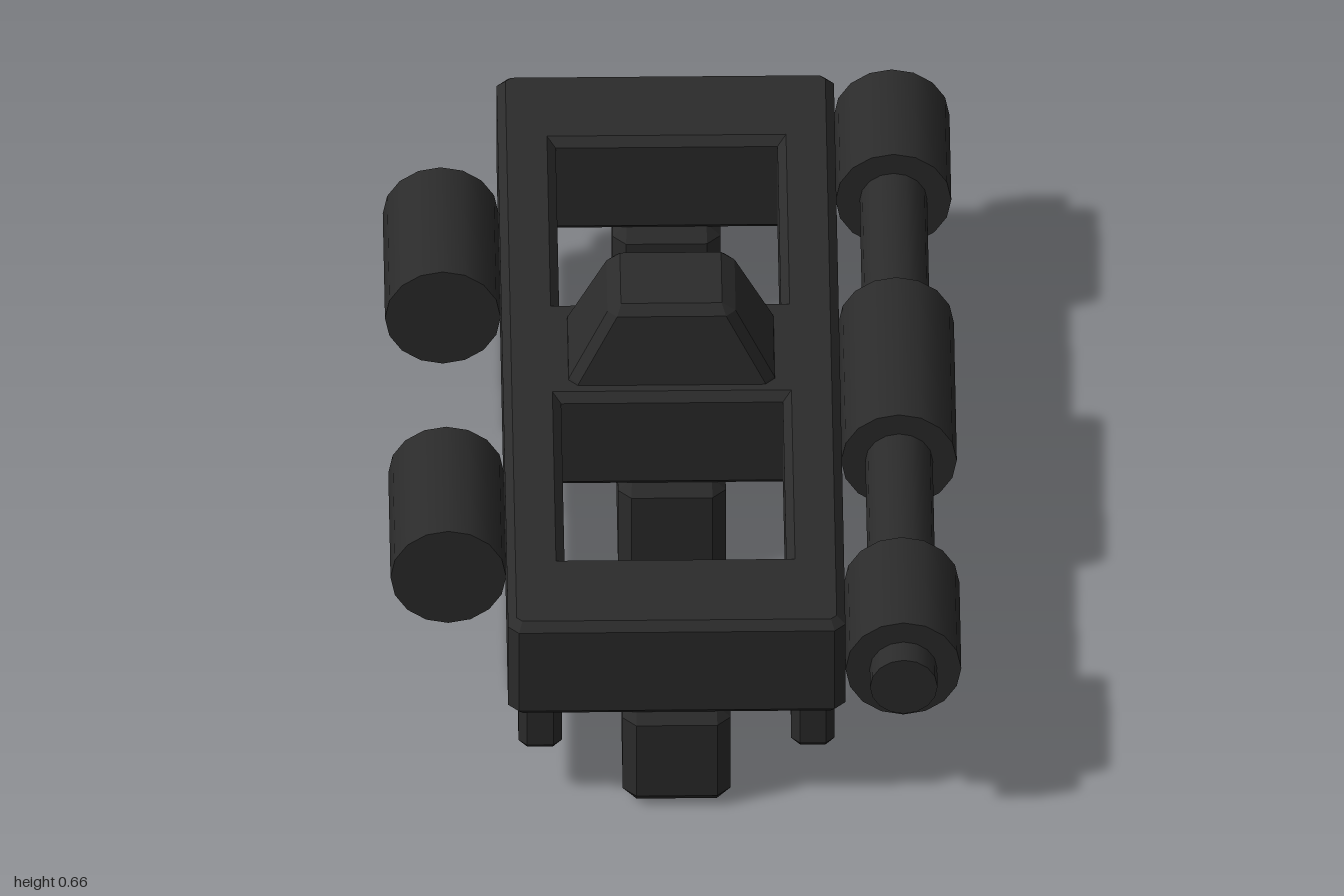
import * as THREE from 'three';
import { ConvexGeometry } from 'three/addons/geometries/ConvexGeometry.js';

const darkPolymer = new THREE.MeshStandardMaterial({ color: 0x2b2b2b });
darkPolymer.name = 'dark polymer';

// Convex solid from stacked rectangles with cut corners: rows of [y, halfX, halfZ, cut]
function stack(rows) {
  const points = [];
  for (const [y, hx, hz, c] of rows)
    for (const sx of [-1, 1])
      for (const sz of [-1, 1])
        points.push(
          new THREE.Vector3(sx * hx, y, sz * (hz - c)),
          new THREE.Vector3(sx * (hx - c), y, sz * hz));
  return new ConvexGeometry(points);
}

// Box with chamfered edges, standing between y0 and y1
function chamferBox(hx, hz, y0, y1, c) {
  return stack([
    [y0, hx - c, hz - c, 0.001], [y0 + c, hx, hz, c],
    [y1 - c, hx, hz, c], [y1, hx - c, hz - c, 0.001],
  ]);
}

function rect(path, x0, x1, z0, z1, c) {
  path.setFromPoints([
    [x0 + c, z0], [x1 - c, z0], [x1, z0 + c], [x1, z1 - c],
    [x1 - c, z1], [x0 + c, z1], [x0, z1 - c], [x0, z0 + c],
  ].map(([x, z]) => new THREE.Vector2(x, z)));
  return path;
}

export function createModel() {
  const model = new THREE.Group();
  const add = (name, geometry, x = 0, y = 0, z = 0) => {
    const mesh = new THREE.Mesh(geometry, darkPolymer);
    mesh.name = name;
    mesh.position.set(x, y, z);
    model.add(mesh);
  };

  // Frame plate with two windows and bevelled rims
  const bevel = 0.018;
  const plate = rect(new THREE.Shape(), -0.35 + bevel, 0.35 - bevel, -0.94 + bevel, 0.94 - bevel, 0.012);
  for (const [z0, z1] of [[-0.705, -0.165], [0.162, 0.7]]) {
    const hole = new THREE.Path().setFromPoints([
      [-0.23 - bevel, z0 - bevel], [-0.23 - bevel, z1 + bevel],
      [0.23 + bevel, z1 + bevel], [0.23 + bevel, z0 - bevel],
    ].map(([x, z]) => new THREE.Vector2(x, z)));
    plate.holes.push(hole);
  }
  const frame = new THREE.ExtrudeGeometry(plate, {
    depth: 0.24 - 2 * bevel, bevelEnabled: true, bevelSegments: 1, bevelSize: bevel, bevelThickness: bevel,
  });
  frame.rotateX(Math.PI / 2);
  add('frame', frame, 0, 0.475 - bevel, 0);

  // Tapered knob on the crossbar
  add('knob', stack([
    [0.47, 0.215, 0.125, 0.02], [0.48, 0.213, 0.124, 0.02],
    [0.64, 0.133, 0.106, 0.02], [0.66, 0.105, 0.086, 0.001],
  ]));

  // Feet and rails below the frame
  add('frontFoot', chamferBox(0.112, 0.122, 0, 0.24, 0.028), 0, 0, 0.818);
  add('middleFoot', chamferBox(0.112, 0.168, 0, 0.24, 0.028), 0, 0, 0);
  add('backFoot', chamferBox(0.112, 0.122, 0, 0.24, 0.028), 0, 0, -0.816);
  for (const [side, x] of [['left', 0.283], ['right', -0.283]])
    add(side + 'Rail', chamferBox(0.045, 0.9, 0.115, 0.245, 0.018), x);

  // Hinge barrels along both sides, with a pin through the left row
  const barrel = (name, x, radius, z0, z1) => {
    const geometry = new THREE.CylinderGeometry(radius, radius, z1 - z0, 16);
    geometry.rotateX(Math.PI / 2);
    add(name, geometry, x, 0.355, (z0 + z1) / 2);
  };
  [[-0.94, -0.652], [-0.235, 0.232], [0.647, 0.938]].forEach(([z0, z1], i) =>
    barrel('leftBarrel' + (i + 1), 0.47, 0.12, z0, z1));
  [[-0.62, -0.265], [0.26, 0.615]].forEach(([z0, z1], i) =>
    barrel('rightBarrel' + (i + 1), -0.47, 0.12, z0, z1));
  barrel('hingePin', 0.47, 0.07, -1, 1);

  return model;
}
